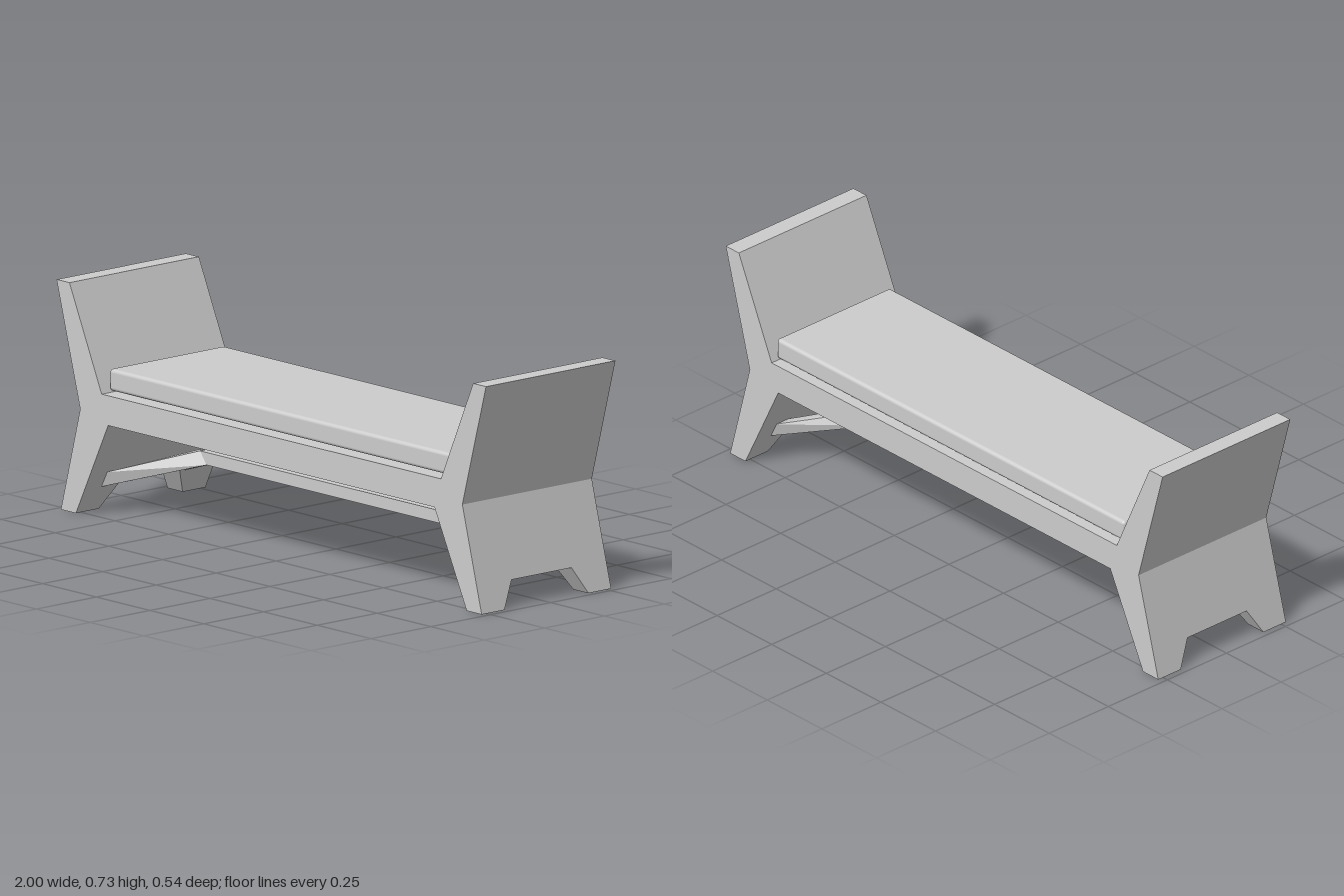
import * as THREE from 'three';
import { ConvexGeometry } from 'three/addons/geometries/ConvexGeometry.js';
import { RoundedBoxGeometry } from 'three/addons/geometries/RoundedBoxGeometry.js';

const DEPTH = 0.54;

export function createModel() {
  const group = new THREE.Group();
  group.name = 'bench';
  const grey = new THREE.MeshStandardMaterial({ color: 0xcccccc });
  grey.name = 'light grey';

  const add = (name, geometry) => {
    const mesh = new THREE.Mesh(geometry, grey);
    mesh.name = name;
    group.add(mesh);
    return mesh;
  };

  // Solid block between corner points, mirrored by sx and sz
  const block = (name, points, sx, sz) =>
    add(name, new ConvexGeometry(points.map(([x, y, z]) => new THREE.Vector3(x * sx, y, z * sz))));

  // Frame: splayed arms, seat and upper legs as one extruded outline
  const half = [
    [0.79, 0.4], [0.94, 0.73], [1, 0.73], [0.89, 0.335], [0.957, 0.085], [0.868, 0.085], [0.76, 0.305],
  ];
  const outline = [...half, ...half.map(([x, y]) => [-x, y]).reverse()];
  const frame = new THREE.ExtrudeGeometry(
    new THREE.Shape(outline.map(([x, y]) => new THREE.Vector2(x, y))),
    { depth: DEPTH, bevelEnabled: false },
  );
  frame.translate(0, 0, -DEPTH / 2);
  add('frame', frame);

  // Seat cushion
  const cushion = add('cushion', new RoundedBoxGeometry(1.592, 0.07, 0.48, 3, 0.012));
  cushion.position.set(0, 0.44, -0.005);

  // Central stretcher bar
  const bar = add('stretcher', new THREE.BoxGeometry(1.2, 0.04, 0.06));
  bar.position.y = 0.195;

  for (const sx of [-1, 1]) {
    const side = sx > 0 ? 'left' : 'right';
    for (const sz of [-1, 1]) {
      const end = sz > 0 ? 'Front' : 'Back';
      // Foot, tapered on the side of the notch
      block(side + end + 'Foot', [
        [0.868, 0.085, 0.125], [0.957, 0.085, 0.125], [0.868, 0.085, 0.27], [0.957, 0.085, 0.27],
        [0.91, 0, 0.175], [0.98, 0, 0.175], [0.91, 0, 0.27], [0.98, 0, 0.27],
      ], sx, sz);
      // Forked brace from the stretcher down to the leg
      block(side + end + 'Brace', [
        [0.62, 0.215, -0.01], [0.58, 0.175, -0.01], [0.6, 0.215, 0.03], [0.57, 0.175, 0.03],
        [0.85, 0.13, 0.15], [0.872, 0.08, 0.15], [0.85, 0.13, 0.2], [0.872, 0.08, 0.2],
      ], sx, sz);
    }
  }
  return group;
}
